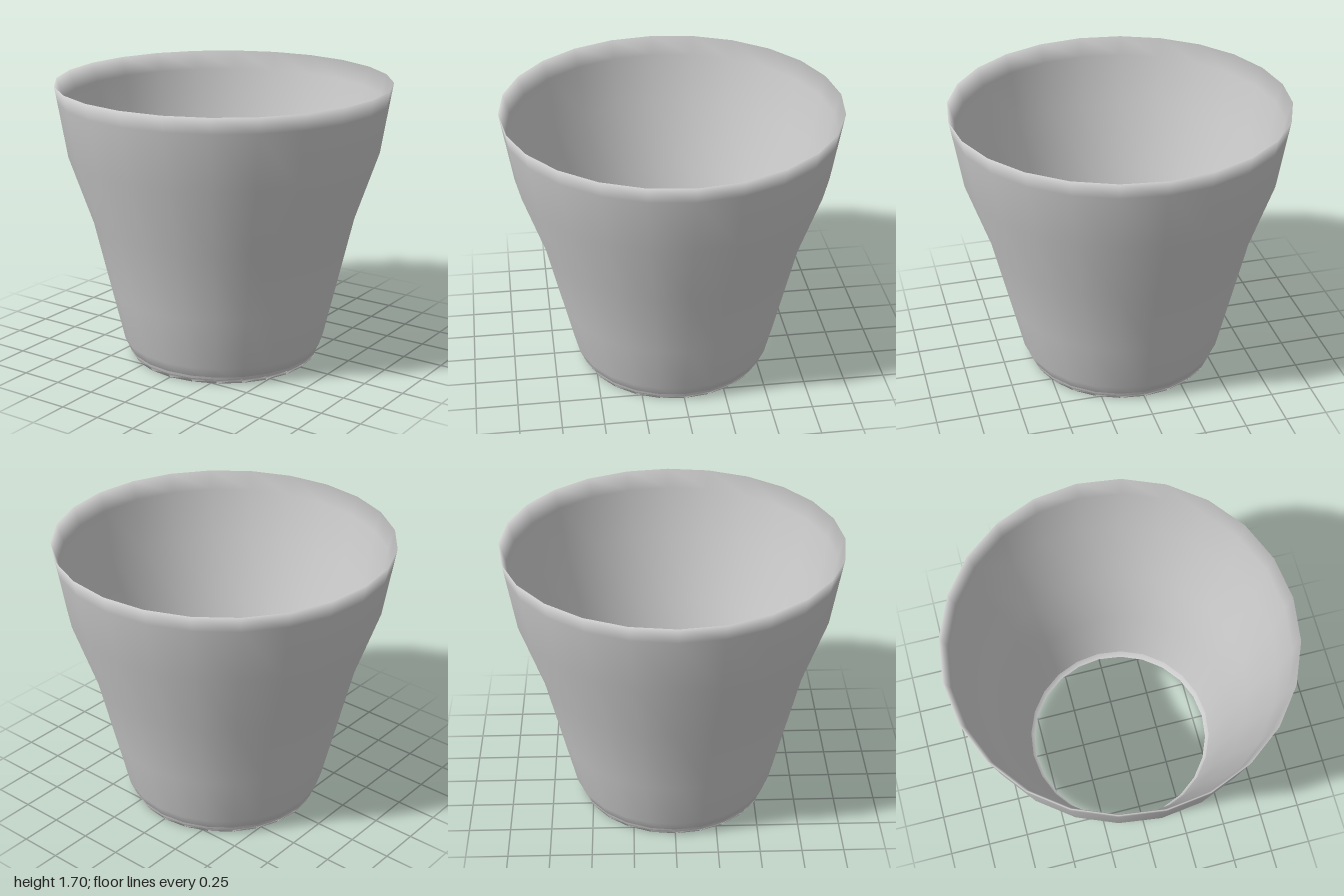
import * as THREE from 'three';

// Open-ended, thin-walled tapered cup
export function createModel() {
  const group = new THREE.Group();
  group.name = 'cup';

  const height = 1.695;

  // Closed wall section: bottom lip, outer face upward, rim, inner face downward
  const profile = [
    [0.582, 0.03], [0.565, 0],
    [0.615, 0.11], [0.69, 0.43], [0.79, 0.86], [0.93, 1.27], [0.984, 1.6],
    [1.0, height],
    [0.964, 1.58], [0.915, 1.27], [0.775, 0.86], [0.675, 0.43], [0.602, 0.11],
    [0.582, 0.03],
  ].map(([r, y]) => new THREE.Vector2(r, y));

  const geometry = new THREE.LatheGeometry(profile, 24);

  // Rounded shading: rim leans up and outward, bottom lip leans down and outward
  const { position, normal } = geometry.attributes;
  const n = new THREE.Vector3();
  for (let i = 0; i < position.count; i++) {
    const y = position.getY(i);
    if (y > 0 && y < height) continue;
    n.set(position.getX(i), 0, position.getZ(i)).setLength(0.45);
    n.y = y > 0 ? 0.9 : -0.9;
    n.normalize();
    normal.setXYZ(i, n.x, n.y, n.z);
  }

  const wall = new THREE.Mesh(
    geometry,
    new THREE.MeshStandardMaterial({ color: 0xcccccc, side: THREE.DoubleSide }),
  );
  wall.name = 'cupWall';
  group.add(wall);
  return group;
}
